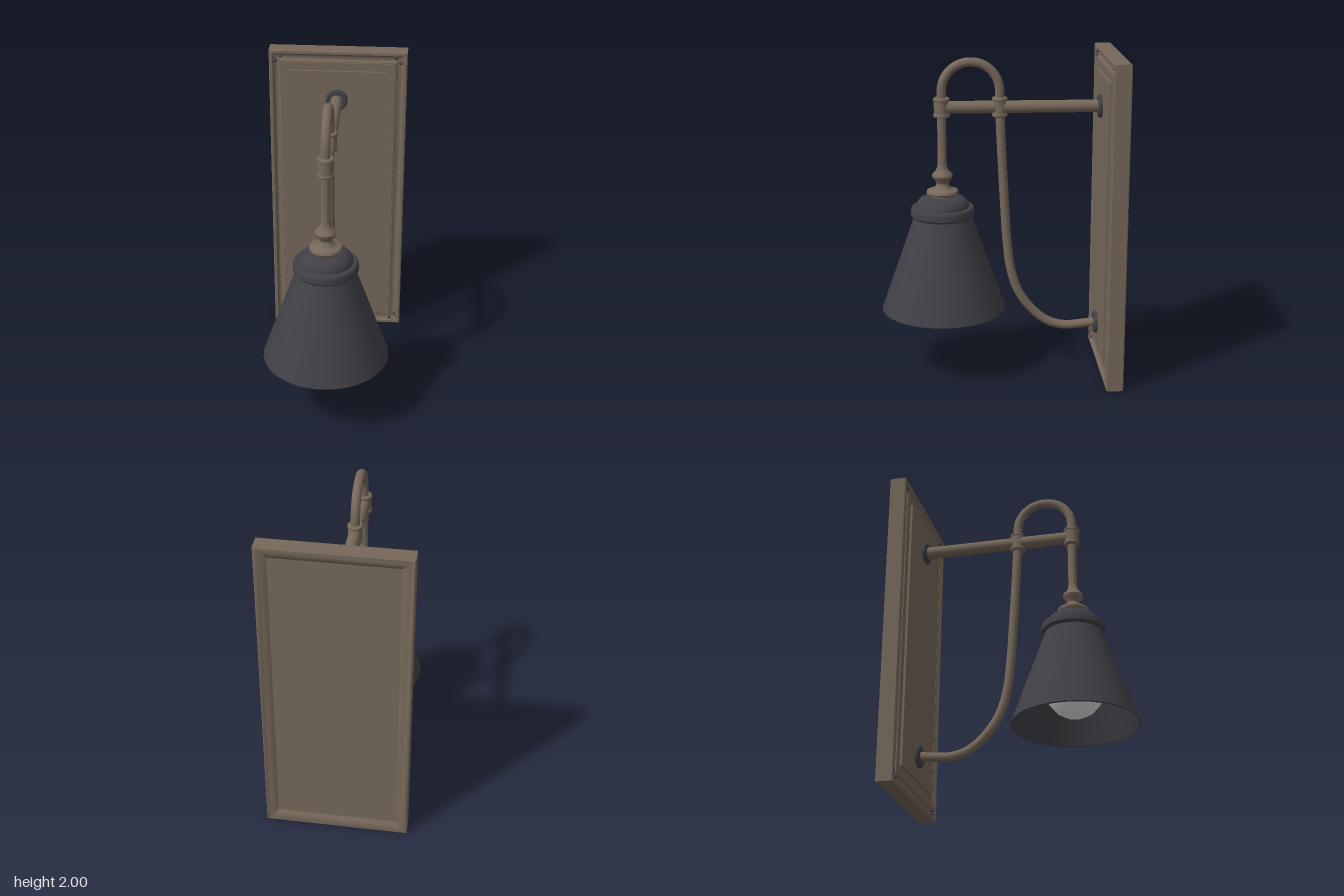
import * as THREE from 'three';
import { toCreasedNormals } from 'three/addons/utils/BufferGeometryUtils.js';

const V = (x, y, z) => new THREE.Vector3(x, y, z);

export function createModel() {
  const bronze = new THREE.MeshStandardMaterial({ color: 0x76685a });
  const charcoal = new THREE.MeshStandardMaterial({ color: 0x414046, side: THREE.DoubleSide });
  const bulbWhite = new THREE.MeshStandardMaterial({ color: 0xe6e6e6 });
  bronze.name = 'bronze';
  charcoal.name = 'charcoal';
  bulbWhite.name = 'bulb white';

  const model = new THREE.Group();
  model.name = 'wallLamp';
  const CX = -0.007, LAMP_Z = 0.345, POST_Z = -0.005, ARM_Y = 1.68;

  const add = (name, geometry, material, x = 0, y = 0, z = 0) => {
    const mesh = new THREE.Mesh(geometry, material);
    mesh.name = name;
    mesh.position.set(x, y, z);
    model.add(mesh);
    return mesh;
  };
  // profile is [radius, height], listed from bottom to top
  const turned = (profile, sides = 32) => toCreasedNormals(
    new THREE.LatheGeometry(profile.map(([r, y]) => new THREE.Vector2(r, y)), sides), 0.6);

  // Mitred picture-frame moulding: [inset from the edge, z], back to front
  const moulding = [
    [0.078, -0.708], [0.062, -0.718], [0.035, -0.733], [0.006, -0.735], [0, -0.73],
    [0, -0.636], [0.006, -0.63], [0.022, -0.63], [0.03, -0.64], [0.042, -0.65],
    [0.056, -0.651], [0.066, -0.645], [0.078, -0.634], [0.082, -0.634], [0.082, -0.66],
  ];
  const corners = [[1, -1], [1, 1], [-1, 1], [-1, -1]];
  const at = ([inset, z], [sx, sy]) => [sx * (0.435 - inset), 1 + sy * (1 - inset), z];
  const positions = [];
  corners.forEach((c, k) => {
    const next = corners[(k + 1) % 4];
    for (let i = 0; i < moulding.length - 1; i++) {
      const a = at(moulding[i], c), b = at(moulding[i + 1], c);
      const a2 = at(moulding[i], next), b2 = at(moulding[i + 1], next);
      positions.push(...a, ...a2, ...b, ...b, ...a2, ...b2);
    }
  });
  const frame = new THREE.BufferGeometry();
  frame.setAttribute('position', new THREE.Float32BufferAttribute(positions, 3));
  add('frame', toCreasedNormals(frame, 0.7), bronze);

  // Back board and its raised field
  add('backPanel', new THREE.BoxGeometry(0.73, 1.86, 0.076), bronze, 0, 1, -0.674);
  add('raisedField', new THREE.BoxGeometry(0.61, 1.735, 0.03), bronze, 0, 1.0025, -0.637);

  // Nail heads clustered round each mitre
  for (const [sx, sy] of corners) {
    for (const [dx, dy] of [[0.02, 0.05], [0.05, 0.02], [0.04, 0.072], [0.072, 0.04]]) {
      add('nailHead', new THREE.SphereGeometry(0.011, 10, 8), charcoal,
        sx * (0.435 - dx), 1 + sy * (1 - dy), -0.642);
    }
  }

  // Wall rosettes
  for (const y of [ARM_Y, 0.285]) {
    add('rosette', turned([[0, -0.02], [0.07, -0.02], [0.07, 0.006], [0.062, 0.014], [0, 0.014]]),
      charcoal, CX, y, -0.614).rotation.x = Math.PI / 2;
  }

  // Horizontal arm
  const armLength = LAMP_Z + 0.61;
  add('arm', new THREE.CylinderGeometry(0.038, 0.038, armLength, 24), bronze,
    CX, ARM_Y, LAMP_Z - armLength / 2).rotation.x = Math.PI / 2;

  // Collars where the pipes cross the arm
  for (const [z, r] of [[LAMP_Z, 0.05], [POST_Z, 0.047]]) {
    add('collar', turned([
      [0, -0.06], [r - 0.006, -0.06], [r, -0.054], [r, -0.042], [r - 0.004, -0.038],
      [r - 0.004, 0.038], [r, 0.042], [r, 0.054], [r - 0.006, 0.06], [0, 0.06],
    ], 24), bronze, CX, ARM_Y, z);
  }

  // Arched pipe joining both collars
  const archR = (LAMP_Z - POST_Z) / 2, archZ = (LAMP_Z + POST_Z) / 2;
  const arch = new THREE.CurvePath();
  const archPoints = [V(CX, 1.7, LAMP_Z)];
  for (let i = 0; i <= 16; i++) {
    const t = Math.PI * i / 16;
    archPoints.push(V(CX, 1.778 + archR * Math.sin(t), archZ + archR * Math.cos(t)));
  }
  archPoints.push(V(CX, 1.7, POST_Z));
  add('archPipe', new THREE.TubeGeometry(new THREE.CatmullRomCurve3(archPoints), 48, 0.028, 16), bronze);

  // Long pipe sweeping down and back to the lower rosette
  const sweep = [[1.66, -0.006], [1.4, -0.018], [1.1, -0.034], [0.85, -0.05], [0.65, -0.075],
    [0.5, -0.125], [0.37, -0.22], [0.295, -0.32], [0.27, -0.42], [0.275, -0.51], [0.287, -0.62]];
  add('sweepPipe', new THREE.TubeGeometry(
    new THREE.CatmullRomCurve3(sweep.map(([y, z]) => V(CX, y, z))), 64, 0.028, 16), bronze);

  // Drop rod with turned finial
  add('dropRod', turned([
    [0, 1.11], [0.07, 1.115], [0.07, 1.135], [0.094, 1.142], [0.1, 1.155], [0.094, 1.168],
    [0.06, 1.175], [0.044, 1.19], [0.038, 1.21], [0.044, 1.228], [0.06, 1.245], [0.064, 1.26],
    [0.056, 1.277], [0.04, 1.29], [0.031, 1.312], [0.027, 1.34], [0.027, 1.66],
  ], 28), bronze, CX, 0, LAMP_Z);

  // Shade: open cone, rounded band and domed cap
  add('shade', turned([
    [0.376, 0.412], [0.38, 0.405], [0.385, 0.41], [0.382, 0.42], [0.176, 1.005],
  ]), charcoal, CX, 0, LAMP_Z);
  add('shadeCap', turned([
    [0.17, 1.0], [0.186, 1.002], [0.196, 1.014], [0.196, 1.052], [0.188, 1.064], [0.164, 1.066],
    [0.162, 1.08], [0.152, 1.1], [0.132, 1.118], [0.105, 1.129], [0, 1.132],
  ]), charcoal, CX, 0, LAMP_Z);

  // Bulb and socket
  add('socket', new THREE.CylinderGeometry(0.065, 0.065, 0.22, 24), charcoal, CX, 1.0, LAMP_Z);
  add('bulb', turned([
    [0, 0.455], [0.06, 0.465], [0.115, 0.497], [0.157, 0.547], [0.178, 0.605], [0.178, 0.66],
    [0.16, 0.72], [0.12, 0.785], [0.08, 0.84], [0.058, 0.9], [0, 0.91],
  ]), bulbWhite, CX, 0, LAMP_Z);

  return model;
}
